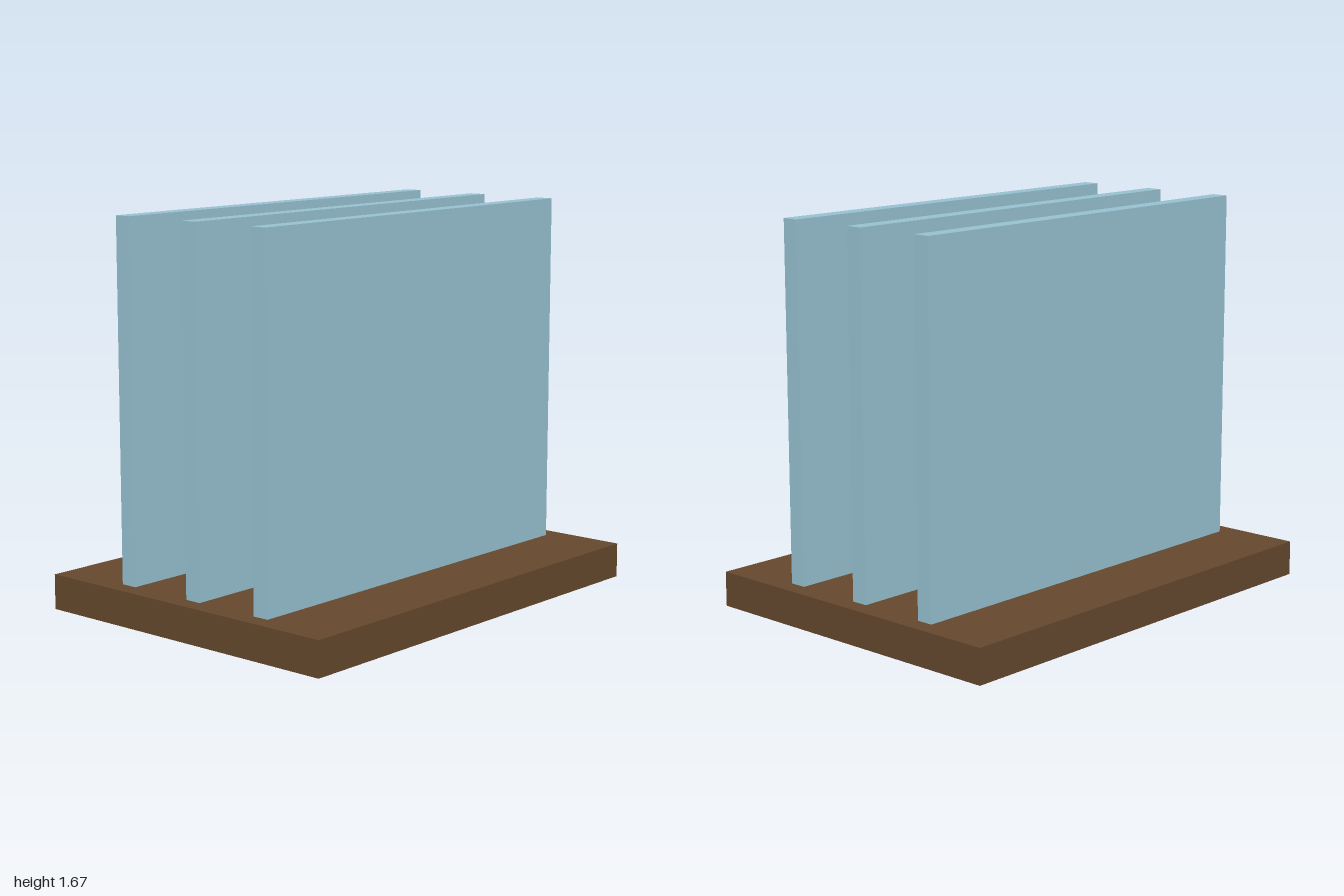
import * as THREE from 'three';

const WIDTH = 2, DEPTH = 1.48, BASE_HEIGHT = 0.15;
const PANEL_WIDTH = 1.846, PANEL_HEIGHT = 1.67, PANEL_THICKNESS = 0.074;
const PANEL_Z = [-0.37, 0, 0.37];

// Rectangle centred on x = 0, traced on a shape or a hole
function rectangle(path, width, height, cy = 0) {
  const x = width / 2, y = height / 2;
  path.moveTo(-x, cy - y);
  path.lineTo(x, cy - y);
  path.lineTo(x, cy + y);
  path.lineTo(-x, cy + y);
  path.closePath();
  return path;
}

export function createModel() {
  const group = new THREE.Group();
  group.name = 'panelStand';
  const wood = new THREE.MeshStandardMaterial({ color: 0x64482d });
  const glass = new THREE.MeshStandardMaterial({ color: 0x96c0d0 });

  // Base board with a through slot for each panel
  const outline = rectangle(new THREE.Shape(), WIDTH, DEPTH);
  for (const z of PANEL_Z) {
    outline.holes.push(rectangle(new THREE.Path(), PANEL_WIDTH, PANEL_THICKNESS, -z));
  }
  const baseGeometry = new THREE.ExtrudeGeometry(outline, { depth: BASE_HEIGHT, bevelEnabled: false });
  baseGeometry.rotateX(-Math.PI / 2);
  const base = new THREE.Mesh(baseGeometry, wood);
  base.name = 'base';
  group.add(base);

  // Upright panels, reaching down flush with the underside of the base
  const panelGeometry = new THREE.BoxGeometry(PANEL_WIDTH, PANEL_HEIGHT, PANEL_THICKNESS);
  const names = ['backPanel', 'middlePanel', 'frontPanel'];
  PANEL_Z.forEach((z, i) => {
    const panel = new THREE.Mesh(panelGeometry, glass);
    panel.name = names[i];
    panel.position.set(0, PANEL_HEIGHT / 2, z);
    group.add(panel);
  });

  return group;
}
